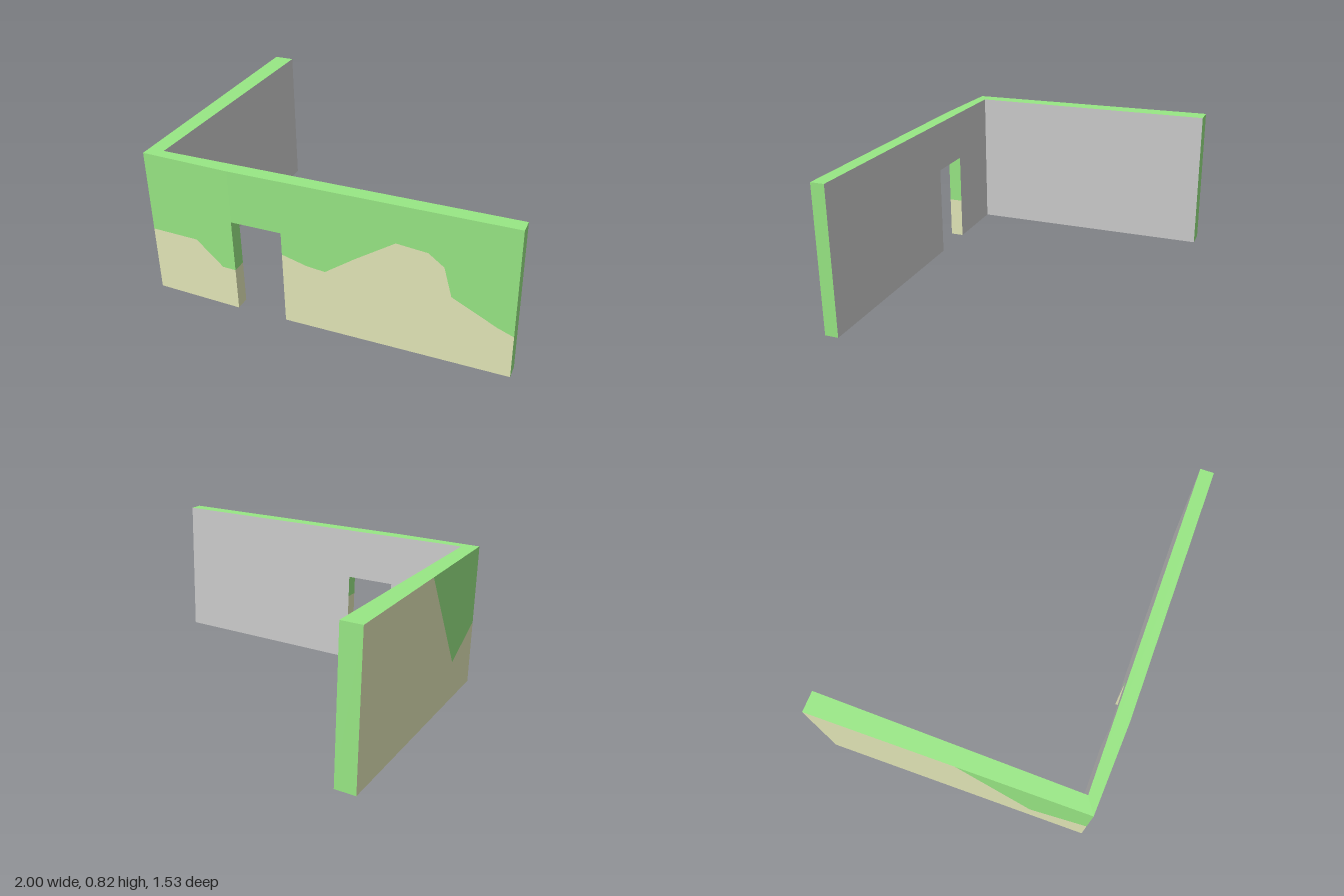
import * as THREE from 'three';

const H = 0.82, DOOR_L = -0.475, DOOR_R = -0.195, DOOR_H = 0.53;
const FRONT = 0.762, INNER = 0.685, BACK = -0.765, WING = -0.885;

const paint = (color) => new THREE.MeshStandardMaterial({ color, flatShading: true });

export function createModel() {
  const group = new THREE.Group();
  const green = paint(0x98e784), tan = paint(0xe3e7b8), grey = paint(0xcccccc);
  const v2 = (pts) => pts.map(([x, y]) => new THREE.Vector2(x, y));

  const add = (name, geometry, material) => {
    geometry.computeVertexNormals();
    const mesh = new THREE.Mesh(geometry, material);
    mesh.name = name;
    group.add(mesh);
  };

  // Upright panel from a to b (x, z), left to right as seen from outside.
  // Outline points are [x or z along the panel's long direction, y].
  const panel = (name, material, a, b, outline) => {
    const axis = Math.abs(b[0] - a[0]) > Math.abs(b[1] - a[1]) ? 0 : 1;
    const pts = outline.map(([s, y]) => [(s - a[axis]) / (b[axis] - a[axis]), y]);
    const g = new THREE.ShapeGeometry(new THREE.Shape(v2(pts)));
    const p = g.attributes.position;
    for (let i = 0; i < p.count; i++) {
      const t = p.getX(i);
      p.setXYZ(i, a[0] + t * (b[0] - a[0]), p.getY(i), a[1] + t * (b[1] - a[1]));
    }
    add(name, g, material);
  };

  // Panel split by a boundary line: tan below, green above.
  const twoTone = (name, a, b, line) => {
    const s0 = line[0][0], s1 = line[line.length - 1][0];
    panel(name + 'Lower', tan, a, b, [[s0, 0], [s1, 0], ...[...line].reverse()]);
    panel(name + 'Upper', green, a, b, [...line, [s1, H], [s0, H]]);
  };

  // Horizontal face from [x, z] points, facing up or down.
  const slab = (name, material, y, pts, up) => {
    const dir = up ? -1 : 1;
    const g = new THREE.ShapeGeometry(new THREE.Shape(v2(pts.map(([x, z]) => [x, dir * z]))));
    g.rotateX(dir * Math.PI / 2).translate(0, y, 0);
    add(name, g, material);
  };

  // Front face: the part left of the door bends slightly back
  const corner = [-0.97, 0.742], bend = [DOOR_L, FRONT], end = [1, FRONT];
  twoTone('frontLeft', corner, bend, [[-0.97, 0.37], [-0.7, 0.37], [-0.55, 0.24], [DOOR_L, 0.24]]);
  twoTone('frontRight', bend, end, [
    [DOOR_R, 0.405], [-0.06, 0.37], [0.04, 0.36], [0.2, 0.475], [0.41, 0.615], [0.57, 0.6],
    [0.65, 0.54], [0.69, 0.385], [0.92, 0.27], [1, 0.24],
  ]);
  panel('frontAboveDoor', green, bend, end,
    [[DOOR_L, DOOR_H], [DOOR_R, DOOR_H], [DOOR_R, H], [DOOR_L, H]]);

  // Outer face of the side wing: mostly tan, green at the front corner
  const wingBack = [-1, BACK];
  panel('wingOuterLower', tan, wingBack, corner,
    [[BACK, 0], [0.742, 0], [0.742, 0.37], [0.43, 0.23], [0.04, H], [BACK, H]]);
  panel('wingOuterUpper', green, wingBack, corner, [[0.04, H], [0.43, 0.23], [0.742, 0.37], [0.742, H]]);

  // Plain inner faces
  panel('wingInner', grey, [WING, INNER], [WING, BACK],
    [[INNER, 0], [BACK, 0], [BACK, H], [INNER, H]]);
  panel('frontInner', grey, [1, INNER], [WING, INNER], [
    [1, 0], [DOOR_R, 0], [DOOR_R, DOOR_H], [DOOR_L, DOOR_H], [DOOR_L, 0], [WING, 0], [WING, H], [1, H],
  ]);

  // Wall ends
  panel('frontEnd', green, end, [1, INNER], [[FRONT, 0], [INNER, 0], [INNER, H], [FRONT, H]]);
  panel('wingEnd', green, [WING, BACK], wingBack, [[WING, 0], [-1, 0], [-1, H], [WING, H]]);

  // Door jambs and lintel underside
  const jamb = (name, x, from, to, split) => {
    const band = (y0, y1) => [[from, y0], [to, y0], [to, y1], [from, y1]];
    panel(name + 'Lower', tan, [x, from], [x, to], band(0, split));
    panel(name + 'Upper', green, [x, from], [x, to], band(split, DOOR_H));
  };
  jamb('leftJamb', DOOR_L, FRONT, INNER, 0.24);
  jamb('rightJamb', DOOR_R, INNER, FRONT, 0.405);
  const rect = (x0, x1) => [[x0, INNER], [x1, INNER], [x1, FRONT], [x0, FRONT]];
  slab('lintelUnderside', grey, DOOR_H, rect(DOOR_L, DOOR_R), false);

  // Top and bottom faces
  slab('wallTop', green, H,
    [wingBack, corner, bend, end, [1, INNER], [WING, INNER], [WING, BACK]], true);
  slab('wingBottom', green, 0,
    [wingBack, corner, bend, [DOOR_L, INNER], [WING, INNER], [WING, BACK]], false);
  slab('frontBottom', green, 0, rect(DOOR_R, 1), false);

  return group;
}
